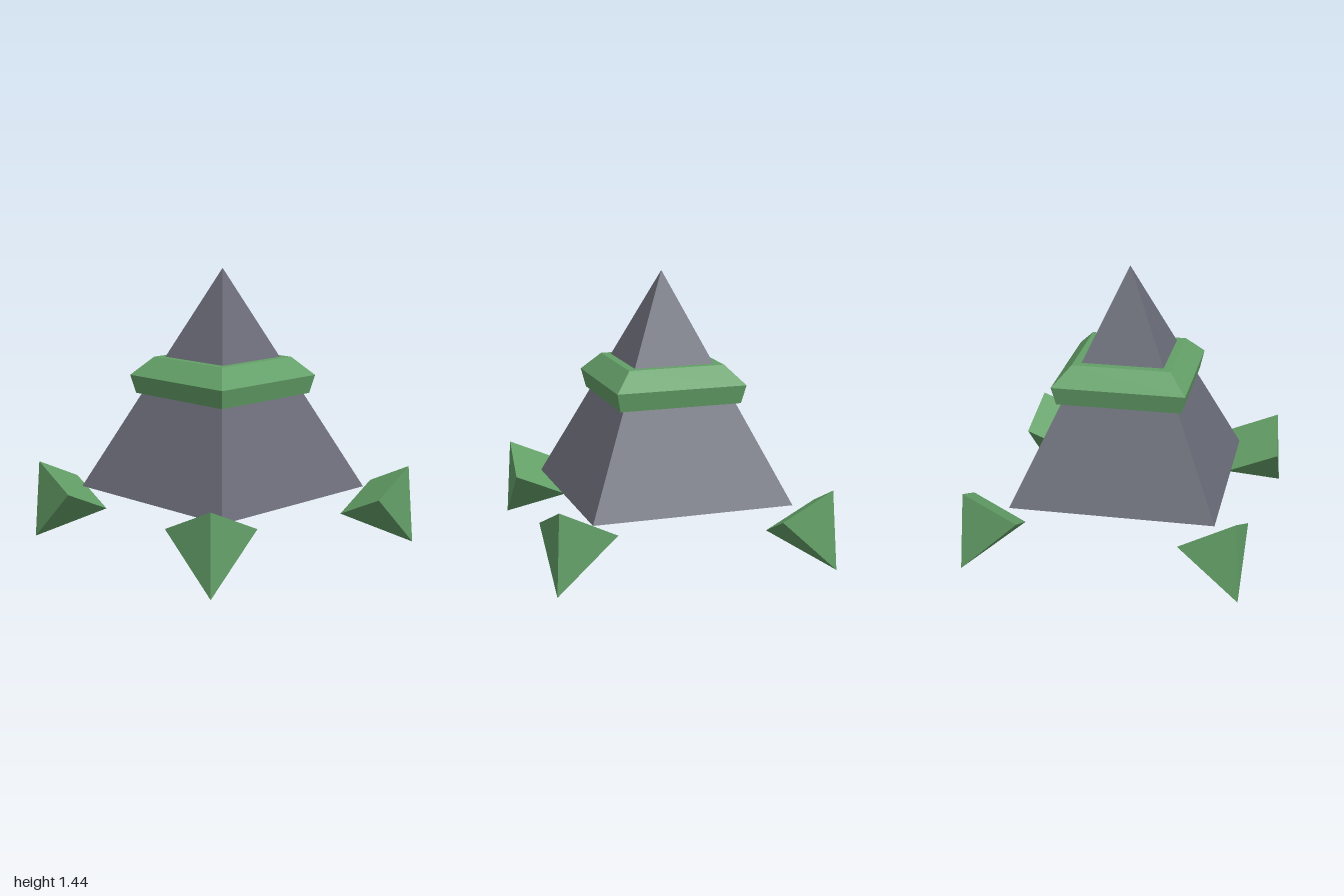
import * as THREE from 'three';

export function createModel() {
  const model = new THREE.Group();
  const stone = new THREE.MeshStandardMaterial({ color: 0x696b77, flatShading: true });
  stone.name = 'grey stone';
  const green = new THREE.MeshStandardMaterial({ color: 0x64a068, flatShading: true });
  green.name = 'green';

  const add = (name, geometry, material) => {
    const mesh = new THREE.Mesh(geometry, material);
    mesh.name = name;
    model.add(mesh);
    return mesh;
  };

  // Floating pyramid with its corners on the x and z axes
  const bottom = 0.29, apex = 1.44;
  add('body', new THREE.ConeGeometry(0.74, apex - bottom, 4).translate(0, (apex + bottom) / 2, 0), stone);

  // Bevelled square collar, its inner edges sunk into the body
  const profile = [[0.4, 0.79], [0.45, 0.79], [0.48, 0.885], [0.355, 0.98], [0.28, 0.98]];
  add('collar', new THREE.LatheGeometry(profile.map(([r, y]) => new THREE.Vector2(r, y)), 4), green);

  // Four claw feet: small pyramids pointing down and outward, slightly off-axis
  const foot = new THREE.ConeGeometry(0.218, 0.347, 4)
    .rotateX(Math.atan2(0.205, -0.28))
    .translate(-0.05, 0.143, 0.8975);
  ['frontFoot', 'leftFoot', 'backFoot', 'rightFoot'].forEach((name, i) => {
    add(name, foot, green).rotation.y = i * Math.PI / 2;
  });

  return model;
}
